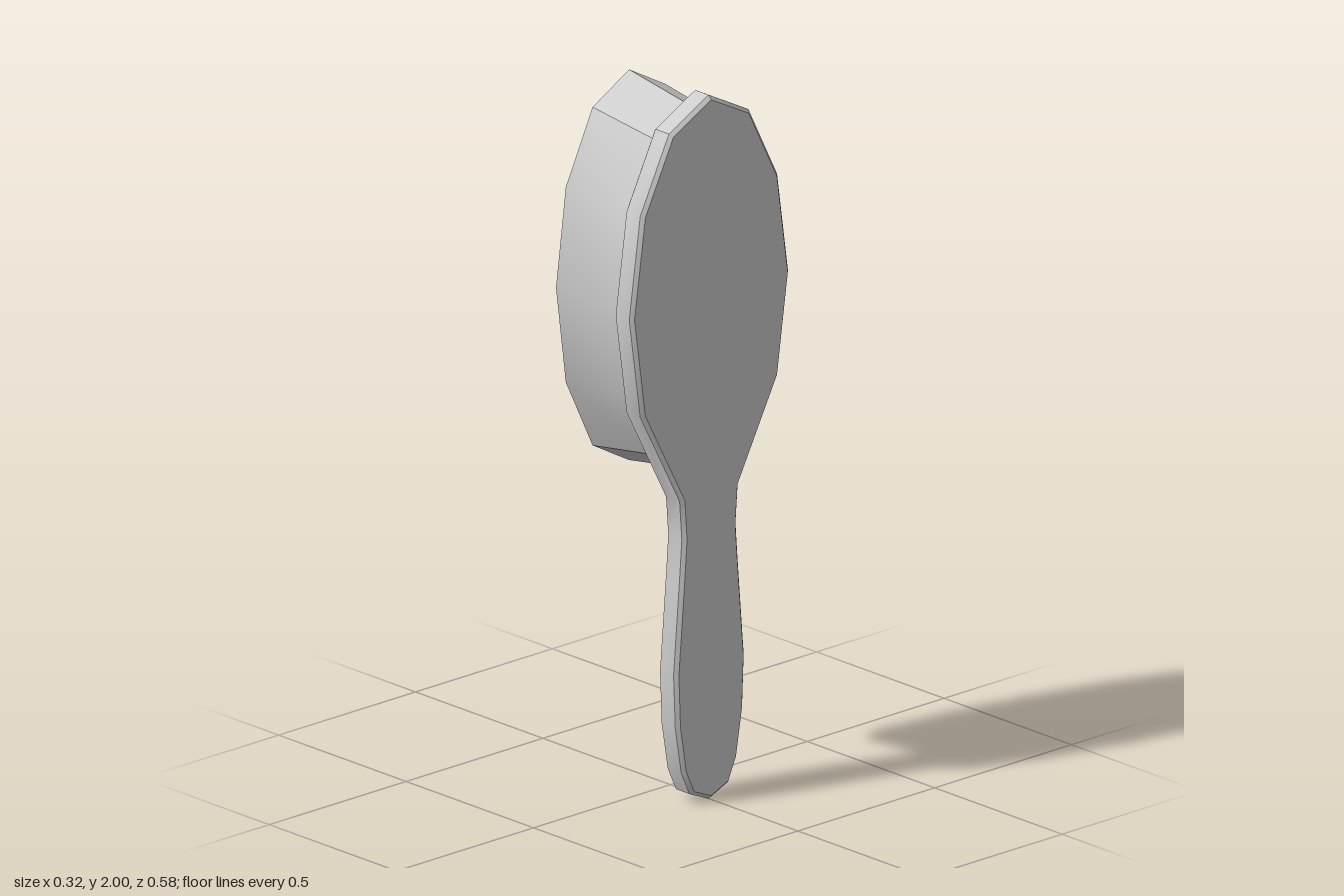
import * as THREE from 'three';
import { toCreasedNormals } from 'three/addons/utils/BufferGeometryUtils.js';

const CREASE = Math.PI / 6;

export function createModel() {
  const group = new THREE.Group();
  group.name = 'hairbrush';
  const material = new THREE.MeshStandardMaterial({ color: 0xcccccc });

  const addPart = (name, geometry) => {
    const mesh = new THREE.Mesh(toCreasedNormals(geometry, CREASE), material);
    mesh.name = name;
    group.add(mesh);
  };

  // Paddle and handle: half outline (half width, height) from tip to bottom, mirrored
  const half = [
    [0.145, 1.924], [0.25, 1.715], [0.29, 1.43], [0.25, 1.145],
    [0.106, 0.87], [0.098, 0.76], [0.106, 0.65], [0.128, 0.38],
    [0.122, 0.23], [0.1, 0.097], [0.07, 0.03],
  ];
  const outline = [
    [0, 2], ...half, [0, 0],
    ...half.map(([w, h]) => [-w, h]).reverse(),
  ].map(([w, h]) => new THREE.Vector2(w, h)).reverse();

  const bevel = 0.01;
  const paddle = new THREE.ExtrudeGeometry(new THREE.Shape(outline), {
    depth: 0.053,
    bevelThickness: bevel,
    bevelSize: bevel,
    bevelOffset: -bevel, // keeps the outline at full size
    bevelSegments: 1,
  });
  paddle.rotateY(Math.PI / 2).translate(0.097, 0, 0);
  addPart('paddleAndHandle', paddle);

  // Bristle block: twelve-sided oval flaring away from the paddle
  const bristles = new THREE.CylinderGeometry(0.927, 1, 0.252, 12);
  bristles.scale(0.555, 1, 0.267).rotateZ(-Math.PI / 2).translate(-0.036, 1.435, 0);
  addPart('bristleBlock', bristles);

  return group;
}
